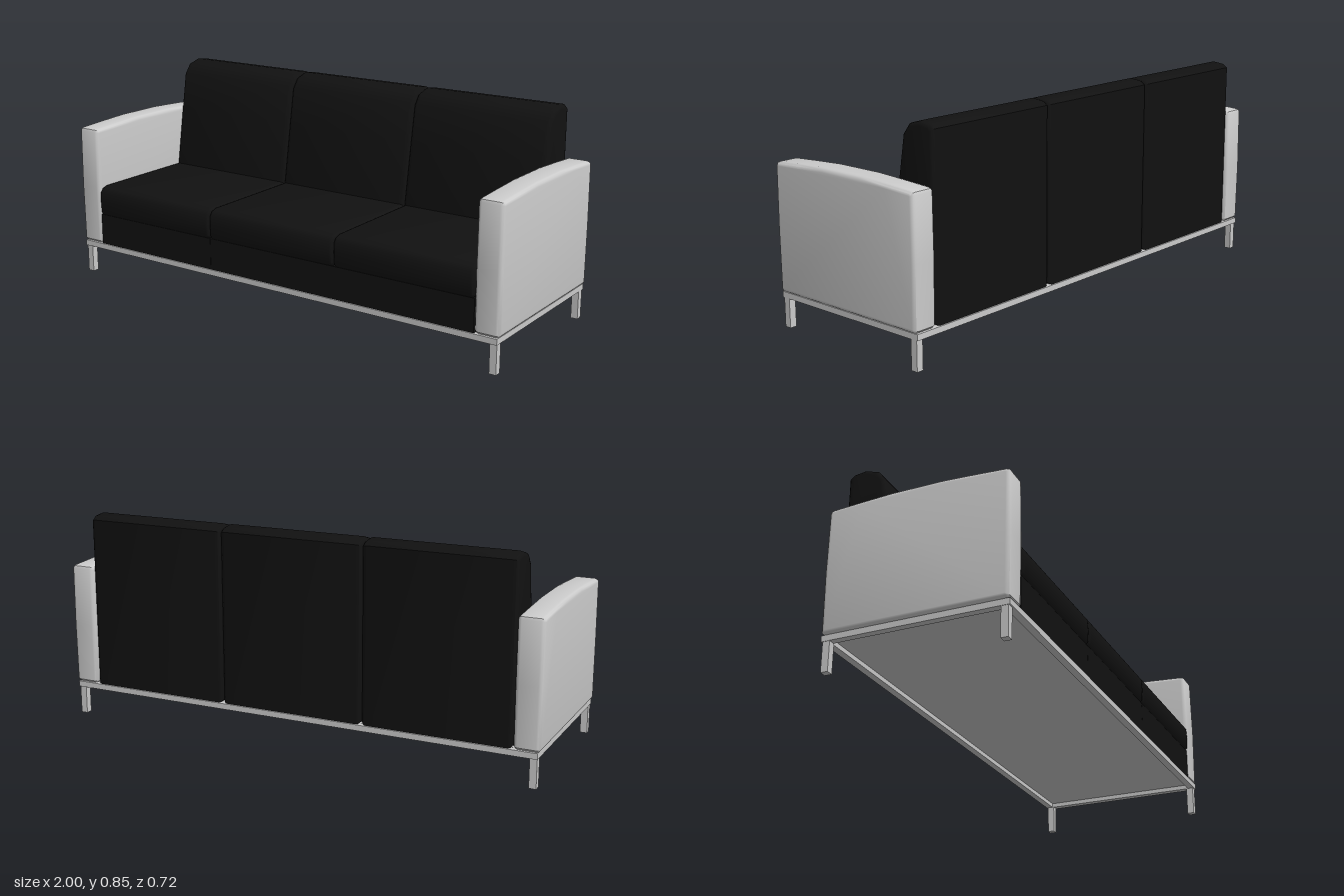
import * as THREE from 'three';
import { toCreasedNormals } from 'three/addons/utils/BufferGeometryUtils.js';

const grey = new THREE.MeshStandardMaterial({ color: 0xcccccc });
const black = new THREE.MeshStandardMaterial({ color: 0x111111 });

// Padded block: a side profile of [z, y] points spread along x, with rounded side edges
function padded(name, profile, x, width, round, material) {
  const shape = new THREE.Shape(profile.map(([z, y]) => new THREE.Vector2(z, y)));
  const geometry = new THREE.ExtrudeGeometry(shape, {
    depth: width - 2 * round, bevelThickness: round, bevelSize: round,
    bevelOffset: -round, bevelSegments: 3,
  });
  geometry.translate(0, 0, -(width - 2 * round) / 2);
  geometry.rotateY(-Math.PI / 2);
  const mesh = new THREE.Mesh(toCreasedNormals(geometry, 0.7), material);
  mesh.name = name;
  mesh.position.x = x;
  return mesh;
}

function box(name, w, h, d, x, y, z, material = grey) {
  const mesh = new THREE.Mesh(new THREE.BoxGeometry(w, h, d), material);
  mesh.name = name;
  mesh.position.set(x, y, z);
  return mesh;
}

export function createModel() {
  const sofa = new THREE.Group();
  sofa.name = 'sofa';

  // Side profiles, counter-clockwise
  const armProfile = [
    [-0.345, 0.138], [0.345, 0.138], [0.354, 0.147], [0.357, 0.38], [0.354, 0.618],
    [0.349, 0.628], [0.337, 0.632], [0.22, 0.639], [0.1, 0.645], [-0.1, 0.645],
    [-0.22, 0.639], [-0.337, 0.632], [-0.349, 0.628], [-0.354, 0.618],
    [-0.357, 0.38], [-0.354, 0.147],
  ];
  const backProfile = [
    [-0.35, 0.138], [-0.14, 0.138], [-0.135, 0.39], [-0.175, 0.64], [-0.2, 0.79],
    [-0.23, 0.83], [-0.285, 0.846], [-0.33, 0.84], [-0.35, 0.825],
  ];
  const seatProfile = [
    [-0.16, 0.265], [0.347, 0.265], [0.357, 0.277], [0.36, 0.325], [0.357, 0.365],
    [0.345, 0.382], [0.32, 0.39], [-0.16, 0.392],
  ];

  // Three seats, each with base, seat cushion and back cushion
  for (const x of [-0.598, 0, 0.598]) {
    sofa.add(box('seatBase', 0.597, 0.13, 0.66, x, 0.202, 0.02, black));
    sofa.add(padded('seatCushion', seatProfile, x, 0.597, 0.015, black));
    sofa.add(padded('backCushion', backProfile, x, 0.596, 0.018, black));
  }

  // Armrests, side rails and legs
  for (const side of [-1, 1]) {
    sofa.add(padded('armrest', armProfile, side * 0.949, 0.102, 0.016, grey));
    sofa.add(box('sideRail', 0.028, 0.023, 0.71, side * 0.977, 0.126, 0));
    for (const z of [-0.335, 0.335]) {
      sofa.add(box('leg', 0.028, 0.115, 0.028, side * 0.975, 0.0575, z));
    }
  }

  // Long rails and underside panel
  for (const z of [-0.341, 0.341]) {
    sofa.add(box('longRail', 1.926, 0.023, 0.028, 0, 0.126, z));
  }
  sofa.add(box('undersidePanel', 1.93, 0.006, 0.66, 0, 0.135, 0));

  return sofa;
}
